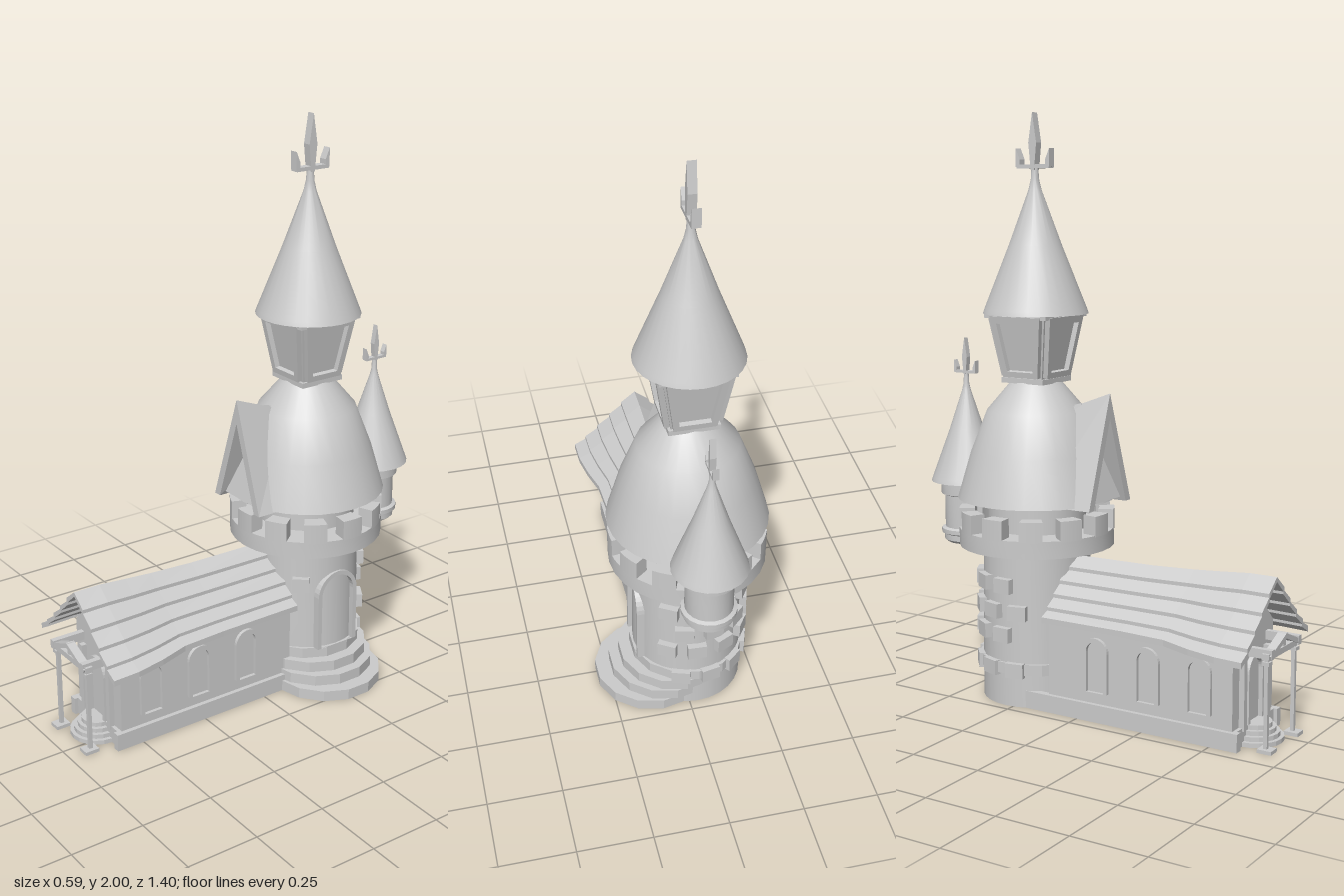
import * as THREE from 'three';
import { toCreasedNormals } from 'three/addons/utils/BufferGeometryUtils.js';

const mat = new THREE.MeshStandardMaterial({ color: 0xcccccc, side: THREE.DoubleSide });
const flat = new THREE.MeshStandardMaterial({ color: 0xcccccc, side: THREE.DoubleSide, flatShading: true });
const TX = -0.03, TZ = -0.275, HX = -0.05; // tower axis, hall axis

function add(parent, name, geo, x = 0, y = 0, z = 0, m = flat) {
  const mesh = new THREE.Mesh(geo, m);
  mesh.name = name;
  mesh.position.set(x, y, z);
  parent.add(mesh);
  return mesh;
}
function group(parent, name, x = 0, y = 0, z = 0, ry = 0) {
  const g = new THREE.Group();
  g.name = name;
  g.position.set(x, y, z);
  g.rotation.y = ry;
  parent.add(g);
  return g;
}
const box = (w, h, d) => new THREE.BoxGeometry(w, h, d);
const poly = (pts) => new THREE.Shape(pts.map(([x, y]) => new THREE.Vector2(x, y)));
const extrude = (shape, depth) => new THREE.ExtrudeGeometry(shape, { depth, bevelEnabled: false, curveSegments: 8 });
const lathe = (pts, n = 28) => toCreasedNormals(
  new THREE.LatheGeometry(pts.map(([r, y]) => new THREE.Vector2(r, y)), n), 0.5);

// Round-headed outline standing on y = 0
function arch(w, h) {
  const s = new THREE.Shape();
  s.moveTo(-w / 2, 0);
  s.lineTo(w / 2, 0);
  s.lineTo(w / 2, h - w / 2);
  s.absarc(0, h - w / 2, w / 2, 0, Math.PI, false);
  s.lineTo(-w / 2, 0);
  return s;
}
// Arched frame with a recessed panel, facing local +z
function archway(parent, name, w, h, t, depth, x, y, z, ry) {
  const g = group(parent, name, x, y, z, ry);
  const outer = arch(w, h);
  outer.holes.push(arch(w - 2 * t, h - t));
  add(g, name + 'Frame', extrude(outer, depth), 0, 0, -depth);
  add(g, name + 'Panel', extrude(arch(w - t, h - t / 2), depth * 0.6), 0, 0, -depth);
}

// Closed solid lofted through matching rings of points
function loft(rings) {
  const n = rings[0].length, idx = [];
  for (let i = 0; i < rings.length - 1; i++)
    for (let j = 0; j < n; j++) {
      const a = i * n + j, b = i * n + (j + 1) % n;
      idx.push(a, b, a + n, b, b + n, a + n);
    }
  const last = (rings.length - 1) * n;
  for (let j = 1; j < n - 1; j++) idx.push(0, j + 1, j, last, last + j, last + j + 1);
  const g = new THREE.BufferGeometry();
  g.setAttribute('position', new THREE.Float32BufferAttribute(rings.flat(2), 3));
  g.setIndex(idx);
  return g.toNonIndexed();
}

// Three-pronged spike lying in the y-z plane
function finial(parent, y, z, s) {
  const g = group(parent, 'finial', TX, y, z, -Math.PI / 2);
  g.scale.setScalar(s);
  const spike = poly([[-0.007, -0.01], [0.007, -0.01], [0.016, 0.08], [0, 0.18], [-0.016, 0.08]]);
  add(g, 'finialSpike', extrude(spike, 0.03), 0, 0, -0.015);
  add(g, 'finialBar', box(0.13, 0.013, 0.03), 0, 0.002, 0);
  for (const k of [-1, 1]) {
    const prong = poly([[k * 0.052, 0], [k * 0.068, 0], [k * 0.068, 0.062], [k * 0.052, 0.025]]);
    add(g, 'finialProng', extrude(prong, 0.03), 0, 0, -0.015);
  }
}

function buildTower(root) {
  const t = group(root, 'tower', TX, 0, TZ);
  add(t, 'towerBody', lathe([[0, 0], [0.19, 0], [0.185, 0.54], [0, 0.54]]), 0, 0, 0, mat);
  add(t, 'upperDrum', new THREE.CylinderGeometry(0.17, 0.17, 0.18, 28, 1), 0, 0.62, 0, mat);
  add(t, 'parapetRing', lathe([[0.17, 0.535], [0.268, 0.535], [0.268, 0.595], [0.17, 0.595]]), 0, 0, 0, mat);

  // Battlements
  for (let i = 0; i < 12; i++) {
    const a = (i / 12) * Math.PI * 2, half = 0.15, s = new THREE.Shape();
    s.absarc(0, 0, 0.268, a - half, a + half, false);
    s.absarc(0, 0, 0.215, a + half, a - half, true);
    add(t, 'merlon', extrude(s, 0.07), 0, 0.66, 0).rotation.x = Math.PI / 2;
  }

  // Protruding stones round the back and sides
  [[0.25, 0], [0.33, 0.3], [0.42, 0.05], [0.13, 0.25]].forEach(([y, shift], row) => {
    for (let i = 0; i < 5; i++) {
      const a = Math.PI * 0.82 + i * 0.52 + shift * (row % 2 ? 1 : 0.5);
      const g = group(t, 'stone', 0, y, 0, a);
      add(g, 'stoneBlock', box(0.065, 0.05, 0.04), 0, 0, 0.188);
    }
  });
  add(group(t, 'stone', 0, 0.4, 0, 0.85), 'stoneBlock', box(0.06, 0.05, 0.04), 0, 0, 0.185);

  archway(t, 'towerDoor', 0.17, 0.285, 0.016, 0.07, 0.193, 0.15, 0, Math.PI / 2);

  // Rounded stair, each step set back further
  [0.095, 0.045, 0.01, -0.03].forEach((x, i) =>
    add(t, 'towerStep', new THREE.CylinderGeometry(0.2, 0.2, 0.038, 14), x - TX, 0.019 + 0.038 * i, 0));

  // Domed roof
  add(t, 'domeRoof', lathe([[0, 0.7], [0.272, 0.7], [0.225, 0.86], [0.17, 1.0], [0.085, 1.1], [0, 1.1]]), 0, 0, 0, mat);

  // Gabled dormer: chevron boards with an inner panel
  const chevron = poly([[-0.13, 0.695], [0, 1.075], [0.13, 0.695], [0.1, 0.695], [0, 0.99], [-0.1, 0.695]]);
  const dg = extrude(chevron, 0.2), p = dg.attributes.position;
  for (let i = 0; i < p.count; i++) // ridge falls towards the back
    if (p.getZ(i) < 0.1 && p.getY(i) > 0.9) p.setY(i, p.getY(i) - 0.075);
  add(t, 'dormerRoof', dg, 0, 0, 0.098);
  const inner = add(t, 'dormerPanel', extrude(poly([[-0.11, 0], [0.11, 0], [0, 0.34]]), 0.03), 0, 0.7, 0.25);
  inner.rotation.x = -0.28;

  // Square flared lantern with four framed panels
  const r2 = Math.SQRT2;
  add(t, 'lanternCore', new THREE.CylinderGeometry(0.11 * r2, 0.075 * r2, 0.22, 4), 0, 1.22, 0).rotation.y = Math.PI / 4;
  add(t, 'lanternBase', box(0.17, 0.018, 0.17), 0, 1.105, 0);
  add(t, 'lanternHead', box(0.25, 0.018, 0.25), 0, 1.326, 0);
  for (let k = 0; k < 4; k++) {
    const g = group(t, 'lanternSide', 0, 1.12, 0, k * Math.PI / 2);
    const frame = poly([[-0.07, 0], [0.07, 0], [0.102, 0.21], [-0.102, 0.21]]);
    frame.holes.push(poly([[-0.052, 0.02], [0.052, 0.02], [0.077, 0.185], [-0.077, 0.185]]));
    add(g, 'lanternFrame', extrude(frame, 0.022), 0, 0, 0.073).rotation.x = 0.16;
  }

  // Spire
  add(t, 'spireRoof', lathe([[0, 1.345], [0.15, 1.345], [0.15, 1.33], [0.18, 1.33], [0.175, 1.345], [0.09, 1.56],
    [0.022, 1.745], [0.014, 1.78], [0.011, 1.83], [0, 1.83]]), 0, 0, 0, mat);
  finial(root, 1.82, TZ, 1);
}

function buildTurret(root) {
  const g = group(root, 'turret', TX, 0, -0.575);
  add(g, 'turretBody', lathe([[0, 0.505], [0.07, 0.505], [0.083, 0.515], [0.083, 0.535], [0.093, 0.54], [0.093, 0.555],
    [0.08, 0.56], [0.08, 0.675], [0.093, 0.68], [0.093, 0.725], [0, 0.725]], 20), 0, 0, 0, mat);
  add(g, 'turretRoof', lathe([[0, 0.735], [0.1, 0.735], [0.1, 0.725], [0.127, 0.725], [0.122, 0.74], [0.06, 0.91],
    [0.016, 1.045], [0.01, 1.07], [0.008, 1.115], [0, 1.115]], 20), 0, 0, 0, mat);
  finial(root, 1.11, -0.575, 0.66 * 1.02);
}

function buildHall(root) {
  const h = group(root, 'hall', HX, 0, 0);
  const W = 0.14, front = 0.575;
  for (const k of [-1, 1]) {
    add(h, 'sideWall', box(0.02, 0.35, front + 0.12), k * (W - 0.01), 0.175, (front - 0.12) / 2);
    add(h, 'sidePlinth', box(0.025, 0.06, 0.9), k * (W + 0.003), 0.03, 0.15);
    for (const z of [0.455, 0.265, 0.07])
      archway(h, 'hallWindow', 0.095, 0.185, 0.014, 0.04, k * (W + 0.012), 0.1, z, k * Math.PI / 2);
  }
  const gable = poly([[-W, 0], [W, 0], [W, 0.36], [0, 0.5], [-W, 0.36]]);
  add(h, 'frontWall', extrude(gable, 0.02), 0, 0, front - 0.02);
  add(h, 'frontPlinth', box(2 * W + 0.03, 0.06, 0.025), 0, 0.03, front);
  archway(h, 'frontDoor', 0.11, 0.22, 0.014, 0.04, 0, 0.06, front + 0.015, 0);
  for (const k of [-1, 1]) add(h, 'doorPilaster', box(0.02, 0.24, 0.025), k * 0.085, 0.17, front + 0.006);

  // Overlapping roof tiers; stations are z, half width, eave y, ridge y
  const stations = [[0.655, 0.24, 0.31, 0.54], [0.56, 0.24, 0.313, 0.54], [0.46, 0.225, 0.318, 0.532],
    [0.36, 0.203, 0.326, 0.525], [0.2, 0.197, 0.328, 0.518], [-0.115, 0.19, 0.325, 0.515]];
  const tiers = 5;
  for (const k of [-1, 1])
    for (let i = 0; i < tiers; i++) {
      const rings = stations.map(([z, w, eave, ridge]) => {
        const at = (u, lift) => [k * u * w, eave + (ridge - eave) * Math.pow(1 - u, 1.12) + lift, z];
        const u0 = i / tiers, u1 = Math.min(1, (i + 1.12) / tiers);
        return [at(u0, 0), at(u1, 0.014), at(u1, -0.006), at(u0, -0.016)];
      });
      add(h, 'roofTier', loft(rings));
    }

  // Porch: posts, beams, little pediment and rounded steps
  for (const k of [-1, 1]) {
    const x = k * 0.097;
    add(h, 'porchPost', box(0.013, 0.3, 0.013), x, 0.15, 0.672);
    add(h, 'postFoot', box(0.042, 0.012, 0.05), x, 0.006, 0.675);
    add(h, 'postCap', box(0.026, 0.012, 0.026), x, 0.288, 0.672);
    add(h, 'porchSideBeam', box(0.02, 0.03, 0.13), x, 0.318, 0.628);
    const brace = add(h, 'pedimentRafter', box(0.125, 0.016, 0.03), k * 0.052, 0.333, 0.677);
    brace.rotation.z = -k * 0.4;
  }
  add(h, 'porchBeam', box(0.235, 0.02, 0.025), 0, 0.312, 0.675);
  add(h, 'pedimentPost', box(0.016, 0.05, 0.02), 0, 0.335, 0.675);
  for (let i = 0; i < 4; i++) {
    const r = 0.095 - i * 0.013;
    add(h, 'porchStep', new THREE.CylinderGeometry(r, r, 0.015, 20), 0, 0.0075 + i * 0.015, 0.585);
  }
}

export function createModel() {
  const root = new THREE.Group();
  root.name = 'castle';
  buildTower(root);
  buildTurret(root);
  buildHall(root);
  return root;
}
